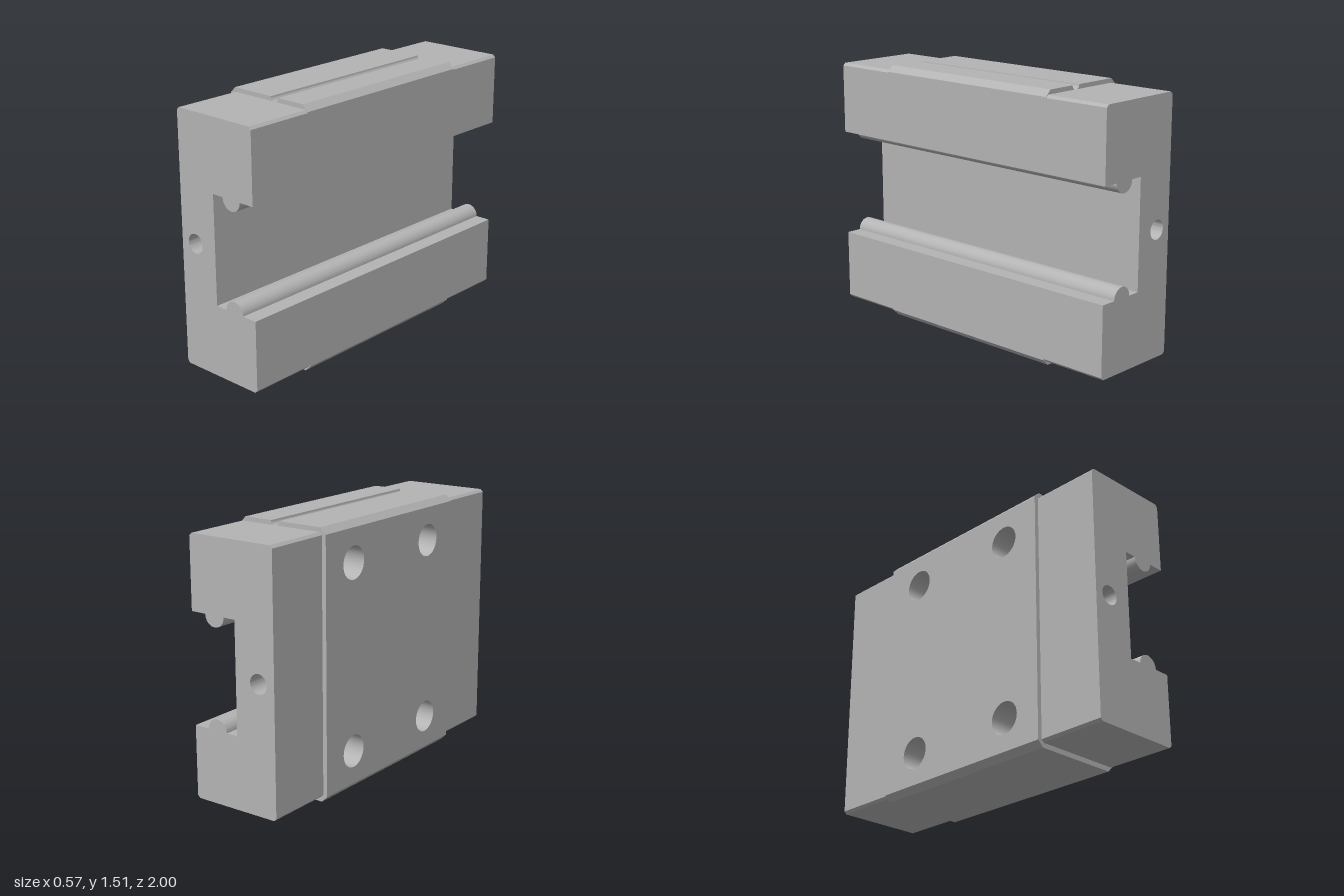
import * as THREE from 'three';
import { toCreasedNormals } from 'three/addons/utils/BufferGeometryUtils.js';

const RIGHT = 0.285, MID_Y = 0.755;
const BLOCK = { left: -0.285, bottom: 0, top: 1.51, chamfer: 0.035 };
const CAP = { left: -0.26, bottom: 0.028, top: 1.485, chamfer: 0.015 };
const HALF_BLOCK = 0.6, HALF_LENGTH = 1;

// C-shaped section with chamfered corners and a rounded rib on each side of the channel
function section({ left, bottom, top, chamfer: c }, groove) {
  const s = new THREE.Shape();
  s.moveTo(left + c, bottom);
  s.lineTo(RIGHT - c, bottom);
  s.lineTo(RIGHT, bottom + c);
  s.lineTo(RIGHT, 0.443);
  s.absarc(0.129, 0.443, 0.063, 0, Math.PI, false);
  s.lineTo(-0.006, 0.443);
  s.lineTo(-0.006, 1.07);
  s.absarc(0.129, 1.07, 0.063, Math.PI, 2 * Math.PI, false);
  s.lineTo(RIGHT, 1.07);
  s.lineTo(RIGHT, top - c);
  s.lineTo(RIGHT - c, top);
  if (groove) s.absarc(0.047, top, 0.027, 0, -Math.PI, true);
  s.lineTo(left + c, top);
  s.lineTo(left, top - c);
  s.lineTo(left, bottom + c);
  s.closePath();
  return s;
}

function circle(x, y, r) {
  return new THREE.Path().absarc(x, y, r, 0, Math.PI * 2, true);
}

function extrude(shape, z0, z1) {
  const g = new THREE.ExtrudeGeometry(shape, { depth: z1 - z0, bevelEnabled: false, curveSegments: 24 });
  return g.translate(0, 0, z0);
}

// Drop the triangles lying in the plane x = value
function withoutPlaneX(geometry, value) {
  const p = geometry.attributes.position, kept = [];
  for (let i = 0; i < p.count; i += 3) {
    if ([0, 1, 2].every(k => Math.abs(p.getX(i + k) - value) < 1e-5)) continue;
    for (let k = 0; k < 3; k++) kept.push(p.getX(i + k), p.getY(i + k), p.getZ(i + k));
  }
  const g = new THREE.BufferGeometry();
  g.setAttribute('position', new THREE.Float32BufferAttribute(kept, 3));
  return g;
}

// Lining of a drilled hole running along +y, ending in a conical tip
function drilled(r, depth, tip) {
  const pts = [new THREE.Vector2(r, 0)];
  if (depth > 0) pts.push(new THREE.Vector2(r, depth));
  pts.push(new THREE.Vector2(0, depth + tip));
  return toCreasedNormals(new THREE.LatheGeometry(pts, 32), 0.5);
}

export function createModel() {
  const model = new THREE.Group();
  model.name = 'railCarriage';
  const steel = new THREE.MeshStandardMaterial({ color: 0xb4b4b4, side: THREE.DoubleSide });
  steel.name = 'grey steel';

  const add = (name, geometry) => {
    const mesh = new THREE.Mesh(geometry, steel);
    mesh.name = name;
    model.add(mesh);
    return mesh;
  };

  // Central block, its mounting face left open
  const block = extrude(section(BLOCK, true), -HALF_BLOCK, HALF_BLOCK);
  add('centralBlock', toCreasedNormals(withoutPlaneX(block, BLOCK.left), 0.5));

  // Mounting face with four screw holes
  const low = BLOCK.bottom + BLOCK.chamfer, high = BLOCK.top - BLOCK.chamfer;
  const face = new THREE.Shape();
  face.moveTo(-HALF_BLOCK, low);
  face.lineTo(HALF_BLOCK, low);
  face.lineTo(HALF_BLOCK, high);
  face.lineTo(-HALF_BLOCK, high);
  face.closePath();
  for (const sy of [-1, 1]) for (const sz of [-1, 1]) {
    const y = MID_Y + sy * 0.53, z = sz * 0.356;
    face.holes.push(circle(z, y, 0.093));
    add('screwHole', drilled(0.093, 0.35, 0.05).rotateZ(-Math.PI / 2)).position.set(BLOCK.left, y, z);
  }
  add('mountingFace', new THREE.ShapeGeometry(face, 16).rotateY(-Math.PI / 2).translate(BLOCK.left, 0, 0));

  // End caps, each with a blind lubrication hole
  for (const side of [-1, 1]) {
    const shape = section(CAP, false);
    shape.holes.push(circle(-0.157, MID_Y, 0.055));
    const z0 = side > 0 ? HALF_BLOCK : -HALF_LENGTH;
    const cap = extrude(shape, z0, z0 + HALF_LENGTH - HALF_BLOCK);
    add(side > 0 ? 'frontEndCap' : 'backEndCap', toCreasedNormals(cap, 0.5));
    const tip = add('lubricationHoleTip', drilled(0.055, 0, 0.032).rotateX(-side * Math.PI / 2));
    tip.position.set(-0.157, MID_Y, side * 0.75);
  }
  return model;
}
